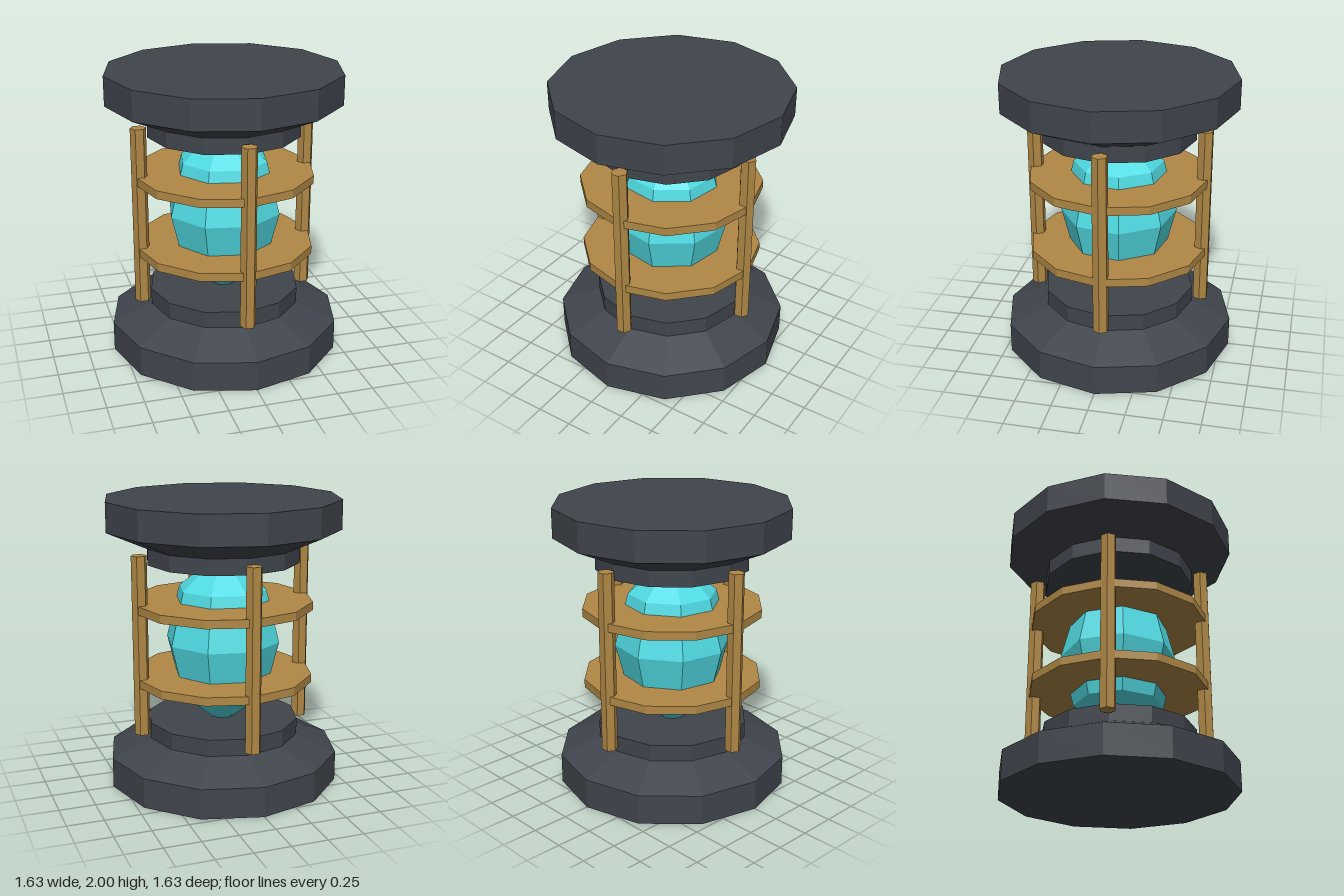
import * as THREE from 'three';

const stone = new THREE.MeshStandardMaterial({ color: 0x40454d });
stone.name = 'dark stone';
const bronze = new THREE.MeshStandardMaterial({ color: 0xb08845 });
bronze.name = 'bronze';
const crystalBlue = new THREE.MeshStandardMaterial({ color: 0x50dae2 });
crystalBlue.name = 'crystal blue';

// Hard-edged mesh: split the vertices so that every face has its own normal
function facetedMesh(name, geometry, material) {
  const faceted = geometry.toNonIndexed();
  faceted.computeVertexNormals();
  const mesh = new THREE.Mesh(faceted, material);
  mesh.name = name;
  return mesh;
}

// Turned solid from [radius, height] pairs, listed from bottom to top
function turned(name, profile, sides, material, startAngle = 0) {
  const points = profile.map(([r, y]) => new THREE.Vector2(r, y));
  return facetedMesh(name, new THREE.LatheGeometry(points, sides, startAngle), material);
}

export function createModel() {
  const model = new THREE.Group();
  model.name = 'crystalLantern';

  // Stepped twelve-sided base and cap
  model.add(turned('base', [
    [0, 0], [0.813, 0], [0.813, 0.21], [0.533, 0.328], [0.533, 0.444], [0, 0.444],
  ], 12, stone));
  model.add(turned('cap', [
    [0, 1.562], [0.533, 1.562], [0.533, 1.673], [0.813, 1.797], [0.813, 2], [0, 2],
  ], 12, stone));

  // Eight-sided crystal, its tips sunk into the base and cap
  model.add(turned('crystal', [
    [0, 0.37], [0.311, 0.632], [0.405, 1.002], [0.311, 1.372], [0, 1.633],
  ], 8, crystalBlue, Math.PI / 16));

  // Two plates around the crystal
  [['lowerPlate', 0.747], ['upperPlate', 1.266]].forEach(([name, y]) => {
    const plate = facetedMesh(name, new THREE.CylinderGeometry(0.63, 0.63, 0.058, 12), bronze);
    plate.position.y = y;
    model.add(plate);
  });

  // Four hexagonal posts, all with corners towards the sides
  const posts = new THREE.Group();
  posts.name = 'posts';
  for (let i = 0; i < 4; i++) {
    const angle = (i * Math.PI) / 2;
    const geometry = new THREE.CylinderGeometry(0.055, 0.055, 1.26, 6, 1, false, Math.PI / 2);
    const post = facetedMesh('post', geometry, bronze);
    post.position.set(0.594 * Math.sin(angle), 1.004, 0.594 * Math.cos(angle));
    posts.add(post);
  }
  model.add(posts);

  return model;
}
